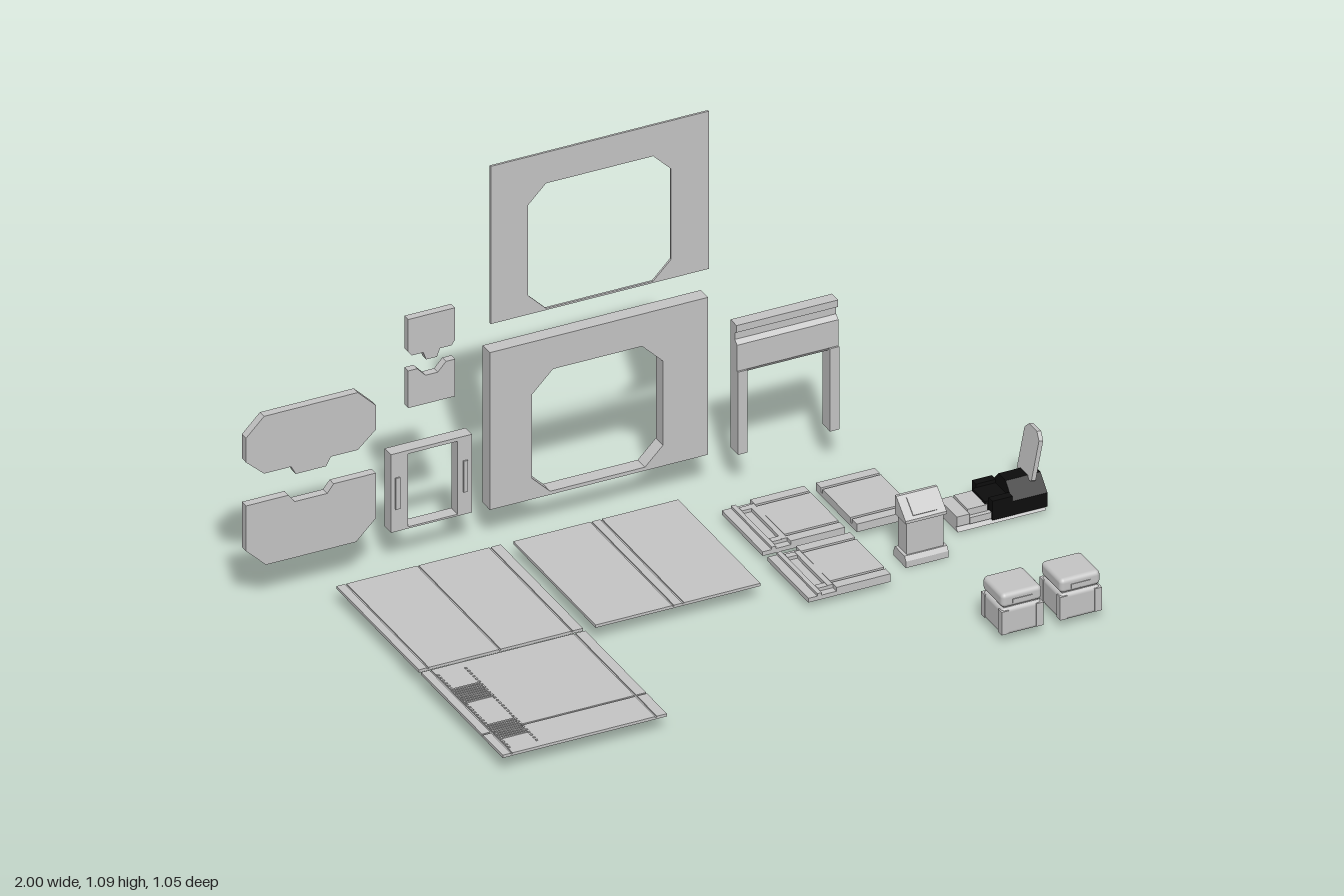
import * as THREE from 'three';
import { RoundedBoxGeometry } from 'three/addons/geometries/RoundedBoxGeometry.js';

export function createModel() {
  const root = new THREE.Group();
  const grey = new THREE.MeshStandardMaterial({ name: 'panel grey', color: 0xc4c4c4 });
  const black = new THREE.MeshStandardMaterial({ name: 'seat black', color: 0x0d0d0d });

  const group = (name) => {
    const g = new THREE.Group();
    g.name = name;
    root.add(g);
    return g;
  };
  const add = (parent, name, geo, mat = grey) => {
    const m = new THREE.Mesh(geo, mat);
    m.name = name;
    parent.add(m);
    return m;
  };
  // Box from its minimum and maximum on each axis
  const box = (parent, name, x0, x1, y0, y1, z0, z1, mat = grey) => {
    const m = add(parent, name, new THREE.BoxGeometry(x1 - x0, y1 - y0, z1 - z0), mat);
    m.position.set((x0 + x1) / 2, (y0 + y1) / 2, (z0 + z1) / 2);
    return m;
  };
  const outline = (pts, C = THREE.Shape) => new C(pts.map(([x, y]) => new THREE.Vector2(x, y)));
  // Rectangle with chamfered bottom (b) and top (t) corners
  const chamfered = (x0, x1, y0, y1, b, t = b) => [
    [x0 + b, y0], [x1 - b, y0], [x1, y0 + b], [x1, y1 - t],
    [x1 - t, y1], [x0 + t, y1], [x0, y1 - t], [x0, y0 + b]];
  // Upright plate facing front, with an optional opening
  const plate = (parent, name, pts, z0, z1, hole) => {
    const s = outline(pts);
    if (hole) s.holes.push(outline(hole, THREE.Path));
    const geo = new THREE.ExtrudeGeometry(s, { depth: z1 - z0, bevelEnabled: false });
    return add(parent, name, geo.translate(0, 0, z0));
  };
  // Side profile of [z, y] points, extended along x
  const sideProfile = (parent, name, pts, x0, x1, mat = grey) => {
    const geo = new THREE.ExtrudeGeometry(outline(pts.map(([z, y]) => [-z, y])), { depth: x1 - x0, bevelEnabled: false });
    return add(parent, name, geo.rotateY(Math.PI / 2).translate(x0, 0, 0), mat);
  };
  const rect = (x0, x1, y0, y1) => [[x0, y0], [x1, y0], [x1, y1], [x0, y1]];

  // Wall sections with large chamfered openings
  const walls = group('walls');
  plate(walls, 'thickWall', rect(-0.31, 0.295, 0.102, 0.555), -0.53, -0.49,
    chamfered(-0.193, 0.17, 0.112, 0.462, 0.05, 0.058));
  plate(walls, 'thinWall', rect(-0.31, 0.295, 0.64, 1.094), -0.491, -0.485,
    chamfered(-0.207, 0.19, 0.645, 1.005, 0.05));

  // Two-part wide door with interlocking tab
  const door = group('wideDoor');
  plate(door, 'upperDoor', [
    [-0.95, 0.555], [-0.69, 0.555], [-0.64, 0.505], [-0.64, 0.435], [-0.69, 0.39], [-0.765, 0.39],
    [-0.778, 0.366], [-0.862, 0.366], [-0.875, 0.39], [-0.95, 0.39], [-1, 0.435], [-1, 0.505]], -0.485, -0.462);
  plate(door, 'lowerDoor', [
    [-1, 0.31], [-0.882, 0.31], [-0.865, 0.287], [-0.775, 0.287], [-0.757, 0.31], [-0.64, 0.31],
    [-0.64, 0.18], [-0.695, 0.126], [-0.945, 0.126], [-1, 0.18]], -0.485, -0.462);

  // Small doorway frame and its two-part shutter
  const hatch = group('smallDoorway');
  plate(hatch, 'doorFrame', rect(-0.582, -0.357, 0.105, 0.33), -0.53, -0.495, rect(-0.535, -0.397, 0.11, 0.32));
  for (const x of [-0.57, -0.382]) box(hatch, 'frameTrim', x, x + 0.012, 0.17, 0.26, -0.495, -0.491);
  plate(hatch, 'upperShutter', [
    [-0.535, 0.708], [-0.405, 0.708], [-0.405, 0.615], [-0.415, 0.602], [-0.447, 0.602], [-0.455, 0.58],
    [-0.485, 0.58], [-0.493, 0.602], [-0.525, 0.602], [-0.535, 0.615]], -0.514, -0.493);
  plate(hatch, 'lowerShutter', [
    [-0.535, 0.453], [-0.405, 0.453], [-0.405, 0.56], [-0.43, 0.56], [-0.453, 0.535], [-0.487, 0.535],
    [-0.51, 0.56], [-0.535, 0.56]], -0.514, -0.493);

  // Tall gate: stepped lintel on two legs
  const gate = group('gate');
  sideProfile(gate, 'lintel', [
    [-0.49, 0.335], [-0.49, 0.475], [-0.456, 0.475], [-0.456, 0.455], [-0.466, 0.449], [-0.466, 0.43],
    [-0.453, 0.42], [-0.453, 0.345], [-0.46, 0.335]], 0.357, 0.638);
  for (const x of [0.357, 0.612]) box(gate, 'leg', x, x + 0.026, 0.107, 0.345, -0.49, -0.448);

  // Floor panels: thin base with raised tiles leaving shallow seams
  const floor = (name, x0, x1, z0, z1, xs, zs) => {
    const g = group(name);
    box(g, 'floorBase', x0, x1, 0.046, 0.051, z0, z1);
    const xe = [x0, ...xs, x1], ze = [z0, ...zs, z1], s = 0.0025;
    for (let i = 0; i < xe.length - 1; i++) for (let j = 0; j < ze.length - 1; j++)
      box(g, 'floorTile', xe[i] + (i ? s : 0), xe[i + 1] - (i < xs.length ? s : 0), 0.051, 0.054,
        ze[j] + (j ? s : 0), ze[j + 1] - (j < zs.length ? s : 0));
    return g;
  };
  floor('backLeftFloor', -0.78, -0.325, -0.4, 0.057, [-0.755, -0.555, -0.355], []);
  floor('middleFloor', -0.29, 0.167, -0.4, 0.057, [-0.075, -0.047], []);
  const vented = floor('frontFloor', -0.78, -0.325, 0.07, 0.523, [-0.755, -0.355], [0.41]);
  for (const z of [0.18, 0.375]) for (let i = 0; i < 8; i++)
    box(vented, 'ventSlat', -0.75, -0.675, 0.054, 0.057, z + i * 0.01, z + i * 0.01 + 0.005);
  for (let i = 0; i < 28; i++) for (const x of [-0.752, -0.675])
    box(vented, 'ventStud', x, x + 0.006, 0.054, 0.056, 0.1 + i * 0.0145, 0.106 + i * 0.0145);

  // Platform blocks with two slots running across
  const platform = (name, x0, x1, z0, z1) => {
    const g = group(name);
    box(g, 'platformBase', x0, x1, 0.02, 0.03, z0, z1);
    const cuts = [z0, z0 + 0.032, z1 - 0.032, z1];
    for (let i = 0; i < 3; i++)
      box(g, 'platformTop', x0, x1, 0.03, 0.043, cuts[i] + (i ? 0.004 : 0), cuts[i + 1] - (i < 2 ? 0.004 : 0));
    return g;
  };
  for (const z of [-0.337, -0.083]) {
    const g = platform('steppedPlatform', 0.335, 0.485, z, z + 0.226);
    box(g, 'lowStep', 0.257, 0.335, 0.02, 0.032, z, z + 0.226);
    box(g, 'stepRail', 0.282, 0.294, 0.032, 0.039, z, z + 0.226);
    box(g, 'stepBracket', 0.32, 0.335, 0.032, 0.042, z + 0.02, z + 0.206);
    for (const d of [0.02, 0.188]) box(g, 'bracketArm', 0.294, 0.335, 0.032, 0.041, z + d, z + d + 0.018);
  }
  platform('plainPlatform', 0.518, 0.68, -0.337, -0.111);

  // Console with a sloping top
  const desk = group('console');
  sideProfile(desk, 'consoleFoot', [[0.07, 0], [0.07, 0.018], [0.062, 0.03], [0.008, 0.03], [0.002, 0.018], [0.002, 0]], 0.564, 0.682);
  box(desk, 'consoleBody', 0.572, 0.674, 0.03, 0.126, 0.01, 0.058);
  sideProfile(desk, 'consoleTop', [[0.064, 0.122], [0.064, 0.13], [0.012, 0.175], [0.004, 0.175], [0.004, 0.122]], 0.566, 0.68);
  const screen = box(desk, 'consoleScreen', 0.59, 0.656, 0, 0.004, -0.025, 0.025);
  screen.position.set(0.623, 0.1535, 0.0385);
  screen.rotation.x = Math.atan2(0.045, 0.052);

  // Storage crates with rounded lids
  for (const x of [0.668, 0.83]) {
    const g = group('crate');
    const body = add(g, 'crateBody', new RoundedBoxGeometry(0.112, 0.078, 0.112, 3, 0.012));
    body.position.set(x, 0.059, 0.452);
    const lid = add(g, 'crateLid', new RoundedBoxGeometry(0.112, 0.04, 0.112, 3, 0.012));
    lid.position.set(x, 0.119, 0.452);
    box(g, 'crateNeck', x - 0.048, x + 0.048, 0.09, 0.106, 0.404, 0.5);
    for (const z of [0.395, 0.506]) box(g, 'crateHandle', x - 0.027, x + 0.027, 0.11, 0.122, z, z + 0.004);
    for (const sx of [-1, 1]) for (const sz of [-1, 1])
      box(g, 'crateCorner', x + sx * 0.048 - 0.01, x + sx * 0.048 + 0.01, 0.026, 0.092, 0.452 + sz * 0.048 - 0.01, 0.452 + sz * 0.048 + 0.01);
  }

  // Reclining seat: grey base, leg rest and back, black shell
  const seat = group('reclinerSeat');
  sideProfile(seat, 'seatBase', [[-0.026, 0.022], [-0.016, 0.008], [-0.122, 0.008], [-0.112, 0.022]], 0.75, 0.995);
  box(seat, 'legRestPlate', 0.75, 0.785, 0.022, 0.05, -0.118, -0.02);
  box(seat, 'legRest', 0.785, 0.84, 0.022, 0.058, -0.108, -0.03);
  for (const z of [-0.12, -0.032]) box(seat, 'legRestRail', 0.785, 0.865, 0.022, 0.04, z, z + 0.014);
  sideProfile(seat, 'seatShell', [
    [-0.012, 0.02], [-0.012, 0.06], [-0.05, 0.1], [-0.09, 0.1], [-0.127, 0.06], [-0.127, 0.02]], 0.9, 0.997, black);
  box(seat, 'seatCushion', 0.835, 0.9, 0.02, 0.065, -0.105, -0.034, black);
  for (const z of [-0.127, -0.034]) box(seat, 'armRest', 0.845, 0.9, 0.02, 0.075, z, z + 0.022, black);
  const rest = new THREE.ExtrudeGeometry(outline(chamfered(-0.04, 0.04, 0, 0.132, 0.004, 0.018)), { depth: 0.012, bevelEnabled: false });
  const back = add(seat, 'backRest', rest.rotateY(Math.PI / 2));
  back.position.set(0.96, 0.092, -0.068);
  back.rotation.z = -0.19;

  return root;
}
